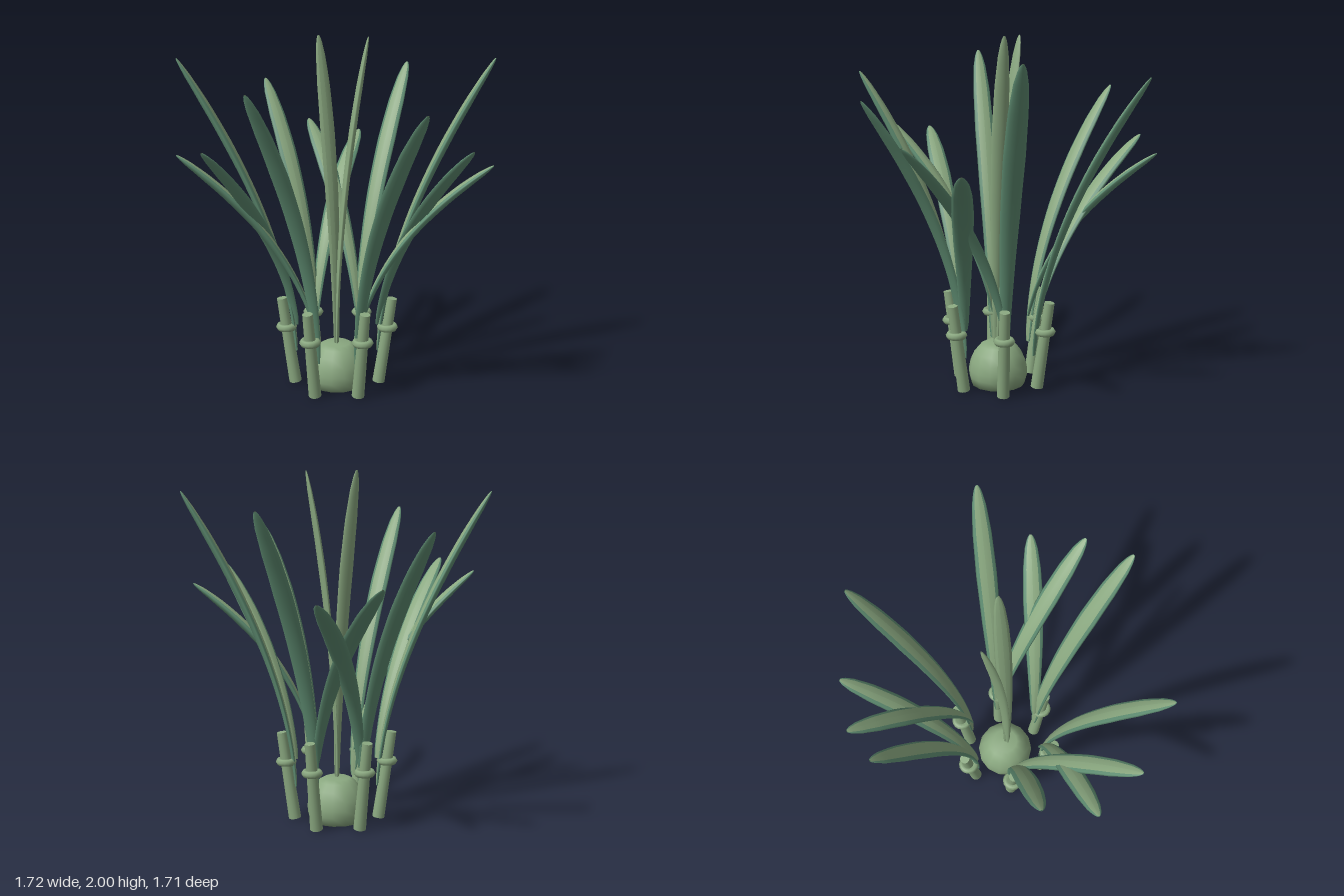
import * as THREE from 'three';

const sage = new THREE.MeshStandardMaterial({ color: 0x8aa880, side: THREE.DoubleSide });
sage.name = 'sageGreen';
const teal = new THREE.MeshStandardMaterial({ color: 0x5f8d72, side: THREE.DoubleSide });
teal.name = 'tealGreen';

const CX = -0.01, CZ = 0.03;

// leaf half width along its length: [t, half width]
const WIDTH = [[0, 0.016], [0.04, 0.024], [0.25, 0.038], [0.5, 0.053], [0.7, 0.058],
  [0.85, 0.051], [0.94, 0.037], [0.985, 0.021], [1, 0.007]];
// leaf cross-section in half widths: ridged band on the inner face, rounded blade behind it
const BAND_A = [[-0.65, 0.25], [-0.32, 0.34], [0, 0.36]];
const BAND_B = [[0, 0.36], [0.32, 0.34], [0.65, 0.25]];
const BLADE = [[0.65, 0.25], [0.9, 0.12], [1, 0], [0.75, -0.24], [0.4, -0.4], [0, -0.46],
  [-0.4, -0.4], [-0.75, -0.24], [-1, 0], [-0.9, 0.12], [-0.65, 0.25]];

function halfWidth(t) {
  let i = 1;
  while (i < WIDTH.length - 1 && t > WIDTH[i][0]) i++;
  const [t0, w0] = WIDTH[i - 1], [t1, w1] = WIDTH[i];
  return THREE.MathUtils.lerp(w0, w1, (t - t0) / (t1 - t0));
}

// sweep an open profile along the leaf's curve
function strip(curve, side, profile, scale) {
  const rows = 32, n = profile.length, pos = [], index = [];
  for (let i = 0; i <= rows; i++) {
    const t = 1 - Math.pow(1 - i / rows, 1.35);
    const p = curve.getPointAt(t);
    const normal = new THREE.Vector3().crossVectors(side, curve.getTangentAt(t)).normalize();
    const w = halfWidth(t) * scale;
    for (const [u, v] of profile) {
      const q = p.clone().addScaledVector(side, u * w).addScaledVector(normal, v * w);
      pos.push(q.x, q.y, q.z);
    }
  }
  for (let i = 0; i < rows; i++) {
    for (let j = 0; j < n - 1; j++) {
      const a = i * n + j, b = a + n;
      index.push(a, a + 1, b, a + 1, b + 1, b);
    }
  }
  const g = new THREE.BufferGeometry();
  g.setAttribute('position', new THREE.Float32BufferAttribute(pos, 3));
  g.setIndex(index);
  g.computeVertexNormals();
  return g;
}

function makeLeaf(name, base, tip, lean, bendY, bladeMaterial, scale) {
  const a = new THREE.Vector3(...base), c = new THREE.Vector3(...tip);
  const b = a.clone().lerp(c, lean).setY(bendY);
  const curve = new THREE.QuadraticBezierCurve3(a, b, c);
  const heading = new THREE.Vector3(c.x - a.x, 0, c.z - a.z).normalize();
  const side = new THREE.Vector3().crossVectors(heading, new THREE.Vector3(0, 1, 0));
  const leaf = new THREE.Group();
  leaf.name = name;
  const add = (part, profile, material) => {
    const m = new THREE.Mesh(strip(curve, side, profile, scale), material);
    m.name = part;
    leaf.add(m);
  };
  add('innerBandRight', BAND_A, sage);
  add('innerBandLeft', BAND_B, sage);
  add('blade', BLADE, bladeMaterial);
  return leaf;
}

export function createModel() {
  const model = new THREE.Group();
  model.name = 'plant';

  // bulb in the middle
  const profile = [[0, 0], [0.155, 0], [0.168, 0.05], [0.17, 0.09], [0.16, 0.14],
    [0.138, 0.19], [0.105, 0.23], [0.075, 0.247], [0, 0.25]];
  const bulb = new THREE.Mesh(
    new THREE.LatheGeometry(profile.map(([x, y]) => new THREE.Vector2(x, y)), 14), sage);
  bulb.name = 'bulb';
  bulb.position.set(CX, 0, CZ);
  model.add(bulb);

  // six outward leaning stems, each with a collar
  for (let i = 0; i < 6; i++) {
    const angle = THREE.MathUtils.degToRad(-10 + i * 60);
    const at = (r, y) => new THREE.Vector3(CX + r * Math.cos(angle), y, CZ + r * Math.sin(angle));
    const low = at(0.243, 0.008), high = at(0.316, 0.518);
    const axis = high.clone().sub(low);
    const stem = new THREE.Mesh(new THREE.CylinderGeometry(0.029, 0.036, axis.length(), 14), sage);
    stem.name = 'stem';
    stem.position.copy(low).lerp(high, 0.5);
    stem.quaternion.setFromUnitVectors(new THREE.Vector3(0, 1, 0), axis.normalize());
    const collar = new THREE.Mesh(new THREE.TorusGeometry(0.04, 0.021, 6, 16), sage);
    collar.name = 'collar';
    collar.position.copy(at(0.291, 0.345));
    collar.rotation.x = Math.PI / 2;
    model.add(stem, collar);
  }

  // a tall and a short arching leaf beside each stem: base x, z, then both tips
  const pairs = [
    [-0.17, -0.14, [-0.58, 1.69, -0.62], [-0.035, 1.35, -0.855]],
    [0.08, -0.18, [0.275, 1.79, -0.785], [-0.345, 1.42, -0.785]],
    [0.22, -0.02, [0.835, 1.885, -0.135], [0.765, 1.475, 0.455]],
    [0.14, 0.21, [0.555, 1.685, 0.685], [0.855, 1.35, 0.155]],
    [-0.08, 0.25, [-0.295, 1.785, 0.85], [-0.77, 1.415, 0.505]],
    [-0.24, 0.07, [-0.86, 1.885, 0.2], [-0.56, 1.475, 0.725]],
  ];
  for (const [x, z, tall, short] of pairs) {
    model.add(makeLeaf('tallLeaf', [x, 0.2, z], tall, 0.06, 0.95, teal, 1));
    model.add(makeLeaf('shortLeaf', [x, 0.36, z], short, 0.17, 0.95, teal, 1));
  }

  // two young upright leaves growing from the bulb
  for (const tip of [[-0.135, 1.998, -0.085], [0.155, 1.998, -0.015]]) {
    model.add(makeLeaf('youngLeaf', [CX, 0.22, 0.04], tip, 0.03, 1.15, sage, 0.82));
  }
  return model;
}
